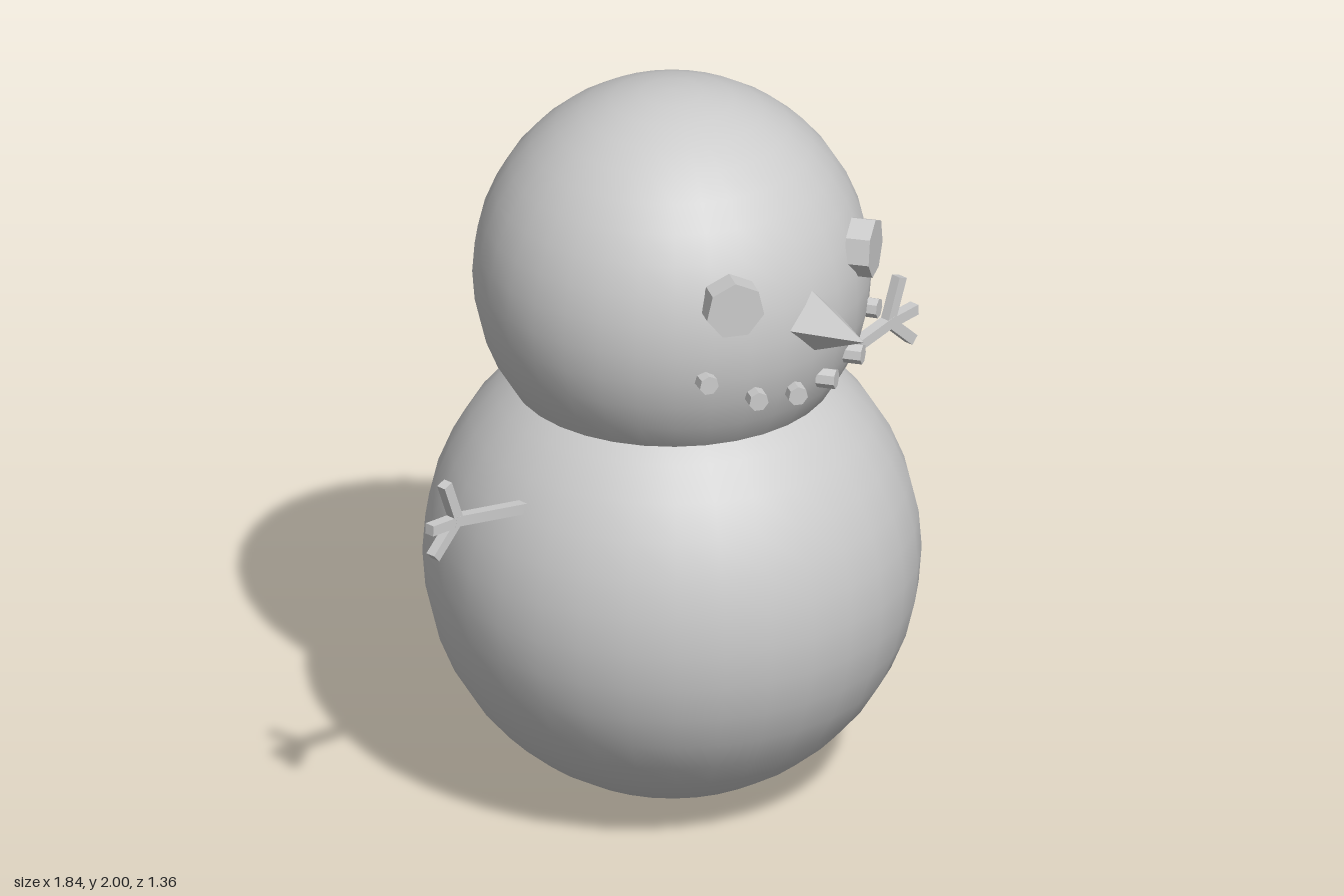
import * as THREE from 'three';

const smooth = new THREE.MeshStandardMaterial({ color: 0xcccccc });
const flat = new THREE.MeshStandardMaterial({ color: 0xcccccc, flatShading: true });
const CZ = -0.022; // depth of the snowball axis

function add(parent, name, geometry, material, x, y, z) {
  const mesh = new THREE.Mesh(geometry, material);
  mesh.name = name;
  mesh.position.set(x, y, z);
  parent.add(mesh);
  return mesh;
}

// Square stick between two points in the x-y plane
function stick(parent, name, [x0, y0], [x1, y1], depth) {
  const length = Math.hypot(x1 - x0, y1 - y0);
  const mesh = add(parent, name, new THREE.BoxGeometry(length, 0.029, depth), flat,
    (x0 + x1) / 2, (y0 + y1) / 2, CZ);
  mesh.rotation.z = Math.atan2(y1 - y0, x1 - x0);
}

// Short prism whose flat face looks forward, with a vertex on top
function coal(radius, depth, sides) {
  return new THREE.CylinderGeometry(radius, radius, depth, sides)
    .rotateX(Math.PI / 2).rotateZ(Math.PI);
}

export function createModel() {
  const snowman = new THREE.Group();
  snowman.name = 'snowman';

  // Snowballs
  const body = add(snowman, 'body', new THREE.SphereGeometry(0.656, 32, 20), smooth, 0, 0.66, CZ);
  body.scale.y = 0.66 / 0.656;
  add(snowman, 'head', new THREE.SphereGeometry(0.525, 32, 20), smooth, 0, 1.475, CZ);

  // Four-sided nose
  const noseGeometry = new THREE.ConeGeometry(0.092, 0.2, 4).rotateX(Math.PI / 2);
  add(snowman, 'nose', noseGeometry, flat, 0, 1.5, 0.58);

  // Mouth pieces: x, y, z, yaw
  const mouth = [
    [0.06, 1.31, 0.487, 0.5],
    [0.185, 1.33, 0.464, 0.5],
    [0.31, 1.4, 0.402, 0.45],
  ];

  for (const side of [-1, 1]) {
    const label = side > 0 ? 'left' : 'right';

    const eye = add(snowman, label + 'Eye', coal(0.08, 0.065, 7), flat, side * 0.248, 1.612, 0.438);
    eye.rotation.y = side * 0.53;

    mouth.forEach(([x, y, z, yaw], i) => {
      const piece = add(snowman, label + 'MouthPiece' + (i + 1), coal(0.027, 0.05, 7), flat,
        side * x, y, z);
      piece.rotation.y = side * yaw;
    });

    // Arm with three fingers
    const arm = new THREE.Group();
    arm.name = label + 'Arm';
    stick(arm, 'branch', [side * 0.56, 0.978], [side * 0.83, 1.034], 0.03);
    stick(arm, 'middleFinger', [side * 0.81, 1.03], [side * 0.917, 1.037], 0.029);
    stick(arm, 'upperFinger', [side * 0.815, 1.03], [side * 0.86, 1.15], 0.028);
    stick(arm, 'lowerFinger', [side * 0.82, 1.03], [side * 0.904, 0.952], 0.028);
    snowman.add(arm);
  }

  return snowman;
}
